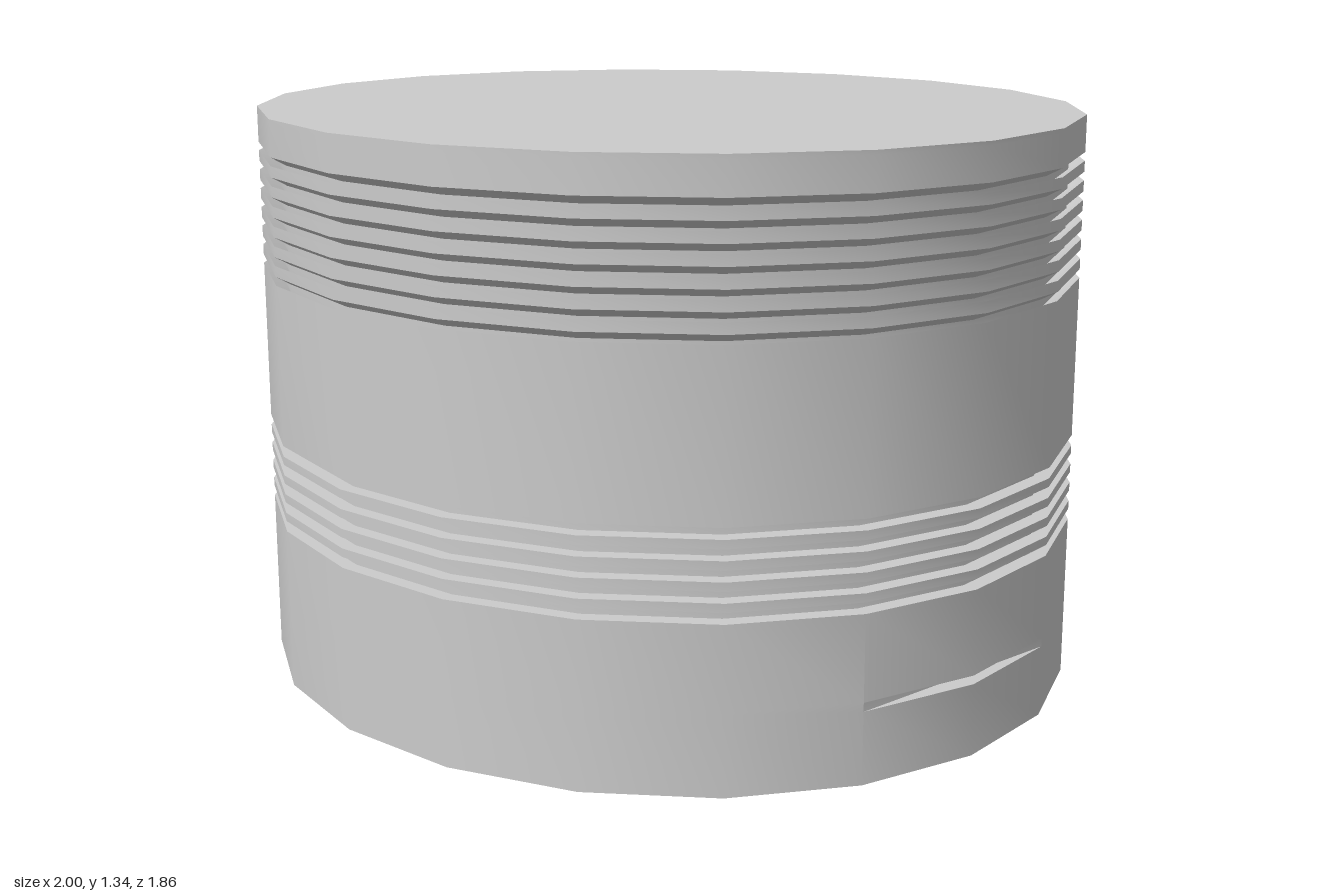
import * as THREE from 'three';
import { toCreasedNormals } from 'three/addons/utils/BufferGeometryUtils.js';

const SIDES = 20, RX = 1.003, RZ = 0.935, START = THREE.MathUtils.degToRad(4.4);
const HEIGHT = 1.335, FLOOR = 0.04, GROOVE = 0.963, SLOT_DEPTH = 0.025;

const corner = k => {
  const a = START + (k * Math.PI * 2) / SIDES;
  return new THREE.Vector2(RX * Math.cos(a), RZ * Math.sin(a));
};

// Twenty-sided oval outline (x, z), with an upright slot at the back
// and, where cut, the corner on the left side flattened to a chord
function outline(scale = 1, slotDepth = 0, cut = false) {
  const pts = [];
  for (let k = 0; k < SIDES; k++) {
    const p = corner(k);
    pts.push(k === 0 && cut ? corner(-1).lerp(corner(1), 0.5) : p);
    if (k === 16) {
      const a = p.clone().lerp(corner(17), 0.03), b = p.clone().lerp(corner(17), 0.21);
      const inset = 1 - slotDepth;
      pts.push(a, a.clone().multiplyScalar(inset), b.clone().multiplyScalar(inset), b);
    }
  }
  return pts.map(p => p.multiplyScalar(scale));
}

// Skin between stacked outlines
function loft(rows) {
  const pos = [];
  const rings = rows.map(r => outline(r.scale, r.slot, r.cut).map(p => [p.x, r.y, p.y]));
  for (let r = 0; r < rings.length - 1; r++) {
    const lo = rings[r], hi = rings[r + 1];
    for (let i = 0; i < lo.length; i++) {
      const j = (i + 1) % lo.length;
      pos.push(...lo[i], ...hi[i], ...hi[j], ...lo[i], ...hi[j], ...lo[j]);
    }
  }
  const g = new THREE.BufferGeometry();
  g.setAttribute('position', new THREE.Float32BufferAttribute(pos, 3));
  return toCreasedNormals(g, THREE.MathUtils.degToRad(26));
}

export function createModel() {
  const group = new THREE.Group();
  const material = new THREE.MeshStandardMaterial({ color: 0xcccccc, side: THREE.DoubleSide });
  const add = (name, geometry) => {
    const mesh = new THREE.Mesh(geometry, material);
    mesh.name = name;
    group.add(mesh);
    return mesh;
  };

  const rows = [];
  const row = (y, scale = 1, cut = false, slot = SLOT_DEPTH) => rows.push({ y, scale, cut, slot });

  // Lower wall with the short side notch
  row(0);
  row(0.165);
  row(0.165, 1, true);
  row(0.185, 1, true);
  row(0.185);

  // Five square grooves
  for (let i = 0; i < 5; i++) {
    const y = 0.38 + i * 0.045;
    row(y);
    row(y, GROOVE);
    row(y + 0.025, GROOVE);
    row(y + 0.025);
  }

  // Seven grooves that slope down inwards
  for (let i = 0; i < 7; i++) {
    const y = 0.96 + i * 0.045;
    row(y);
    row(y - 0.02, GROOVE);
    row(y, GROOVE);
    row(y + 0.02);
  }

  // Thin rim that closes the back slot
  row(HEIGHT - 0.01);
  row(HEIGHT - 0.01, 1, false, 0);
  row(HEIGHT, 1, false, 0);
  add('groovedWall', loft(rows));

  // Flat top and recessed underside
  const top = new THREE.ShapeGeometry(new THREE.Shape(outline().map(p => new THREE.Vector2(p.x, -p.y))));
  add('topPlate', top.rotateX(-Math.PI / 2)).position.y = HEIGHT;
  const base = new THREE.ShapeGeometry(new THREE.Shape(outline(1, SLOT_DEPTH)));
  add('recessedBase', base.rotateX(Math.PI / 2)).position.y = FLOOR;

  return group;
}
